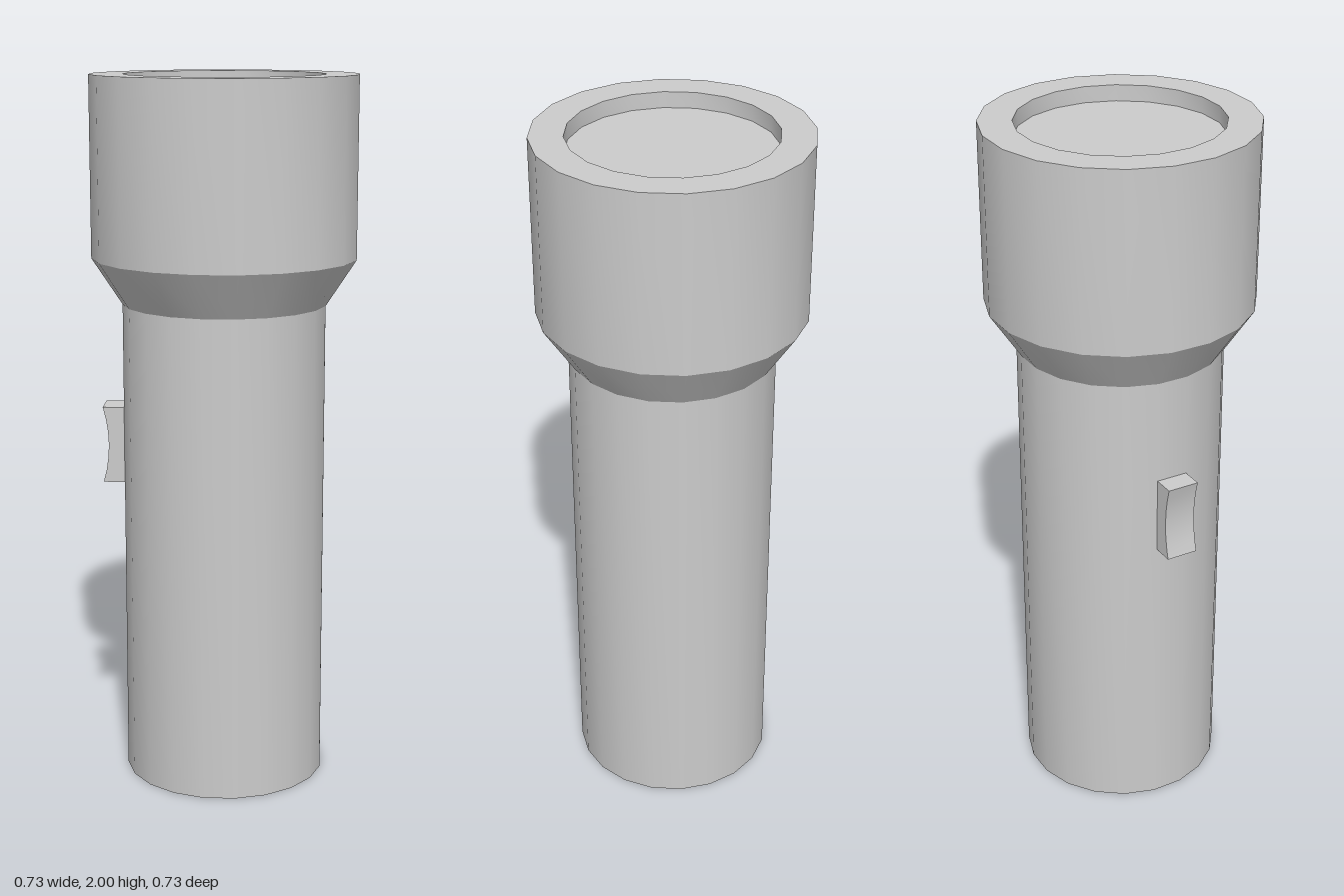
import * as THREE from 'three';
import { toCreasedNormals } from 'three/addons/utils/BufferGeometryUtils.js';

const SIDES = 20;
const material = new THREE.MeshStandardMaterial({ color: 0xcccccc });

function addPart(group, name, geometry) {
  const mesh = new THREE.Mesh(toCreasedNormals(geometry, 0.5), material);
  mesh.name = name;
  group.add(mesh);
}

// Turned part with flats facing the four axes; profile is [radius, y]
function turned(profile) {
  const points = profile.map(([r, y]) => new THREE.Vector2(r, y));
  return new THREE.LatheGeometry(points, SIDES, Math.PI / SIDES);
}

export function createModel() {
  const torch = new THREE.Group();
  torch.name = 'flashlight';

  // Handle tube with closed base
  addPart(torch, 'handle', turned([[0, 0], [0.286, 0], [0.286, 1.37]]));

  // Flared collar, head and the rim turning into the recess
  addPart(torch, 'head', turned([
    [0.286, 1.37], [0.371, 1.5], [0.371, 2], [0.279, 2], [0.279, 1.955],
  ]));

  // Flat lens sunk below the rim
  addPart(torch, 'lens', turned([[0.279, 1.955], [0, 1.955]]));

  // Switch with a hollowed thumb face, on the -x side
  const side = new THREE.Shape();
  side.moveTo(-0.28, 0.857);
  side.lineTo(-0.28, 1.075);
  side.lineTo(-0.343, 1.075);
  side.quadraticCurveTo(-0.311, 0.966, -0.343, 0.857);
  side.closePath();
  const button = new THREE.ExtrudeGeometry(side, { depth: 0.09, bevelEnabled: false, curveSegments: 6 });
  button.translate(0, 0, -0.045);
  addPart(torch, 'switch', button);

  return torch;
}
